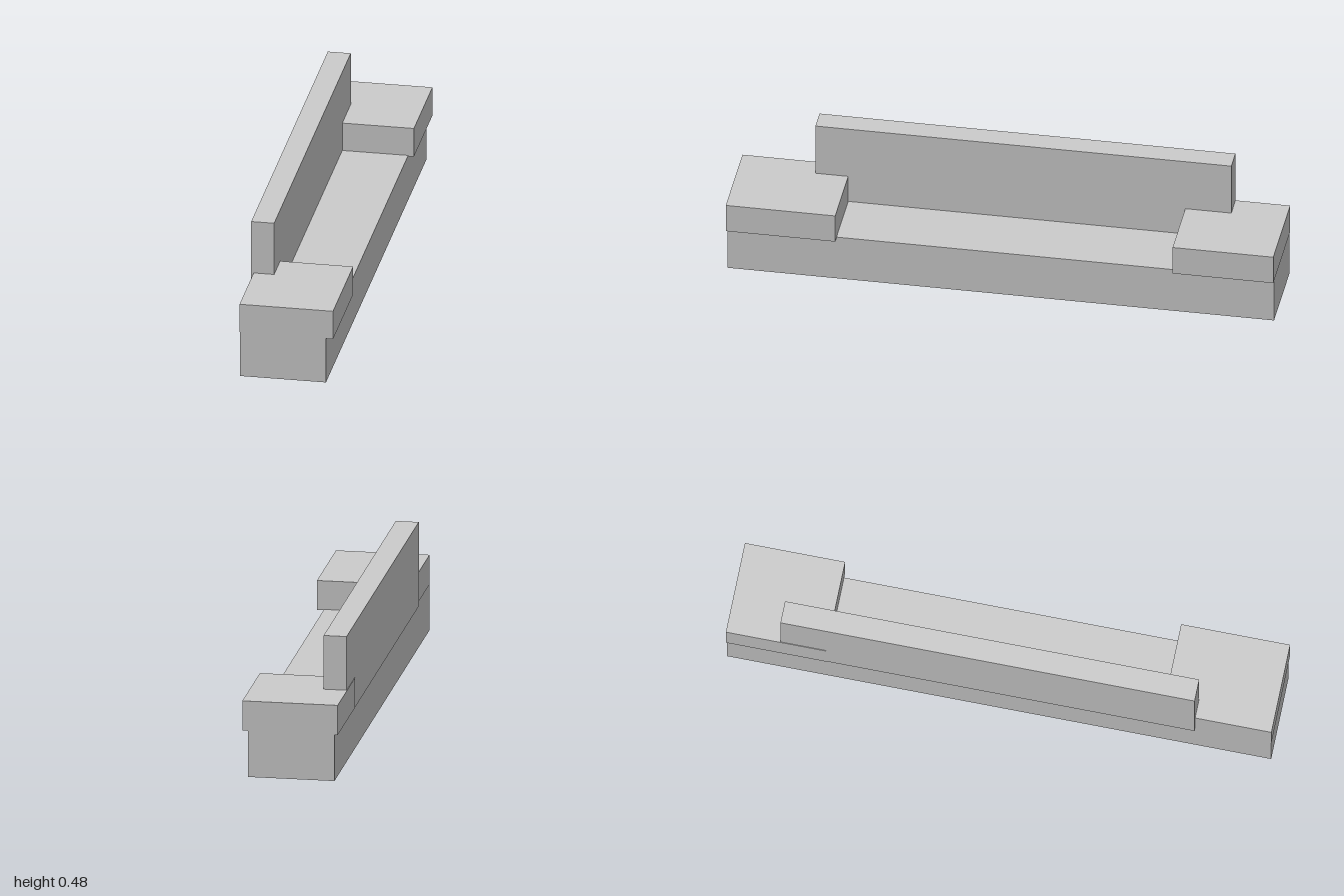
import * as THREE from 'three';

// Box given by its [min, max] extent along each axis
function block(name, [x0, x1], [y0, y1], [z0, z1]) {
  const material = new THREE.MeshStandardMaterial({ color: 0xcccccc, flatShading: true });
  const mesh = new THREE.Mesh(new THREE.BoxGeometry(x1 - x0, y1 - y0, z1 - z0), material);
  mesh.name = name;
  mesh.position.set((x0 + x1) / 2, (y0 + y1) / 2, (z0 + z1) / 2);
  return mesh;
}

export function createModel() {
  const model = new THREE.Group();
  model.name = 'bench';
  model.add(
    // long seat base
    block('seatBase', [-0.165, 0.15], [0, 0.176], [-0.999, 0.999]),
    // backrest along the -x side
    block('backrest', [-0.175, -0.091], [0.17, 0.485], [-0.8, 0.72]),
    // overhanging armrest blocks at both ends
    block('frontArmrest', [-0.166, 0.176], [0.173, 0.283], [0.6, 1]),
    block('rearArmrest', [-0.177, 0.171], [0.173, 0.284], [-1, -0.632])
  );
  return model;
}
